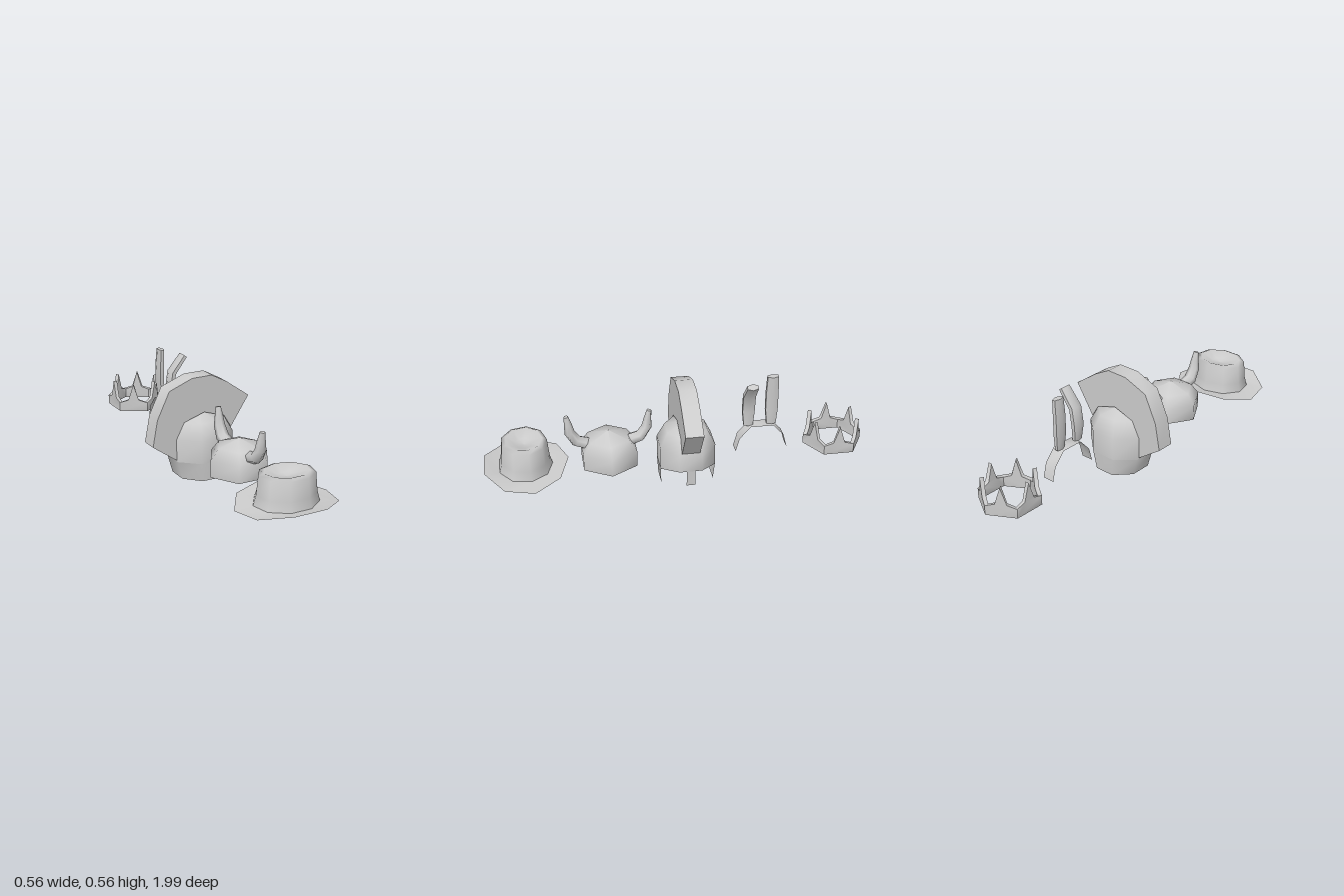
import * as THREE from 'three';
import { mergeGeometries, toCreasedNormals } from 'three/addons/utils/BufferGeometryUtils.js';

const material = new THREE.MeshStandardMaterial({ color: 0xcccccc, side: THREE.DoubleSide });
const V = (x, y, z) => new THREE.Vector3(x, y, z);

function part(name, geometry, parent) {
  const mesh = new THREE.Mesh(geometry, material);
  mesh.name = name;
  parent.add(mesh);
  return mesh;
}

function group(name, x, z, parent) {
  const g = new THREE.Group();
  g.name = name;
  g.position.set(x, 0, z);
  parent.add(g);
  return g;
}

// Skin over a stack of rings, each an array of the same number of points
function loft(rings, closed = true) {
  const n = rings[0].length;
  const geometry = new THREE.BufferGeometry().setFromPoints(rings.flat());
  const index = [];
  for (let i = 0; i < rings.length - 1; i++) {
    for (let j = 0; j < (closed ? n : n - 1); j++) {
      const k = (j + 1) % n;
      const a = i * n + j, b = i * n + k, c = a + n, d = b + n;
      index.push(a, c, b, b, c, d);
    }
  }
  geometry.setIndex(index);
  geometry.computeVertexNormals();
  return geometry;
}

// Elliptical ring; y may be a rule of the angle
function ring(sides, rx, rz, y, start = 0, cx = 0) {
  return Array.from({ length: sides }, (_, j) => {
    const a = start + (j / sides) * Math.PI * 2;
    return V(cx + rx * Math.cos(a), typeof y === 'function' ? y(a) : y, rz * Math.sin(a));
  });
}

// Tapered limb along a bent path; u is the axis square to the plane of the path
function limb(path, u, radii, sides) {
  const rings = path.map((p, i) => {
    const t = path[Math.min(i + 1, path.length - 1)].clone()
      .sub(path[Math.max(i - 1, 0)]).normalize();
    const v = u.clone().cross(t);
    return Array.from({ length: sides }, (_, j) => {
      const a = ((j + 0.5) / sides) * Math.PI * 2;
      return p.clone()
        .addScaledVector(u, radii[i][0] * Math.cos(a))
        .addScaledVector(v, radii[i][1] * Math.sin(a));
    });
  });
  const cap = (p) => Array.from({ length: sides }, () => p.clone());
  const geometry = loft([cap(path[0]), ...rings, cap(path[path.length - 1])]);
  return toCreasedNormals(geometry, 1.2);
}

function brimmedHat(parent) {
  const hat = group('brimmedHat', 0.012, 0.782, parent);
  const start = -Math.PI / 2;
  // Brim droops at the sides and curls up at front and back
  const curl = (a) => 0.139 + 0.037 * Math.sin(a) ** 2;
  part('brim', loft([
    ring(9, 0.258, 0.222, curl, start),
    ring(9, 0.165, 0.14, 0.152, start),
  ]), hat);
  // Tapered crown with a dented top
  part('crown', loft([
    ring(9, 0.165, 0.14, 0.152, start),
    ring(9, 0.152, 0.127, 0.2, start),
    ring(9, 0.143, 0.118, 0.295, start),
    ring(9, 0.115, 0.095, 0.306, start),
    ring(9, 0.05, 0.04, 0.28, start),
    ring(9, 0, 0, 0.275, start),
  ]), hat);
}

function hornedHelmet(parent) {
  const helmet = group('hornedHelmet', 0.016, 0.35, parent);
  part('dome', loft([[0.14, 1], [0.225, 1], [0.282, 0.73], [0.32, 0]]
    .map(([y, s]) => ring(6, 0.161 * s, 0.159 * s, y))), helmet);
  // One horn at each end of z
  for (const s of [1, -1]) {
    const path = [[0.1, 0.25], [0.165, 0.272], [0.198, 0.325], [0.203, 0.37], [0.212, 0.418]]
      .map(([z, y]) => V(0, y, s * z));
    const radii = [[0.036, 0.032], [0.034, 0.031], [0.029, 0.027], [0.022, 0.02], [0.014, 0.012]];
    part('horn', limb(path, V(1, 0, 0), radii, 6), helmet);
  }
}

function crestedHelmet(parent) {
  const helmet = group('crestedHelmet', 0.016, -0.053, parent);
  const start = Math.PI / 8;
  const octagon = (s, y, cx = 0, sz = s) => ring(8, 0.176 * s, 0.155 * sz, y, start, cx);
  // Brow line rises over the face, which looks along +x
  const brow = octagon(1, (a) => (Math.cos(a) > 0.7 ? 0.128 : 0.099));
  part('dome', loft([
    brow,
    octagon(1, 0.22),
    octagon(0.73, 0.302),
    octagon(0, 0.345),
  ]), helmet);
  // Neck guard with cheeks, open in front
  part('neckGuard', loft([
    octagon(0.8, 0, -0.005, 0.96).slice(1, 7),
    brow.slice(1, 7),
  ], false), helmet);
  // Thin nose guard
  const nose = new THREE.PlaneGeometry(0.045, 0.085);
  nose.rotateY(Math.PI / 2).translate(0.1625, 0.0865, 0);
  part('noseGuard', nose, helmet);
  // Fan crest running from the forehead to the nape
  const outline = [
    [-0.298, 0.2], [-0.271, 0.343], [-0.202, 0.486], [-0.071, 0.536], [0.044, 0.537],
    [0.134, 0.488], [0.264, 0.395], [0.16, 0.236],
    [0.118, 0.305], [0, 0.343], [-0.118, 0.305], [-0.161, 0.22], [-0.161, 0.103],
  ].map(([x, y]) => new THREE.Vector2(x, y));
  const crest = new THREE.ExtrudeGeometry(new THREE.Shape(outline), { depth: 0.094, bevelEnabled: false });
  crest.translate(0, 0, -0.047);
  part('crest', toCreasedNormals(crest, 1), helmet);
}

function earBand(parent) {
  const band = group('earBand', 0.013, -0.452, parent);
  // Thin arched strip
  const arch = [[-0.138, 0.14], [-0.118, 0.215], [-0.06, 0.28], [0.06, 0.28], [0.118, 0.215], [0.138, 0.14]];
  part('headband', loft([-0.033, 0.033].map((x) => arch.map(([z, y]) => V(x, y, z))), false), band);
  // One upright ear and one folded over
  const ears = [
    ['uprightEar', -0.053, [[0, 0.278], [-0.004, 0.36], [-0.004, 0.46], [0.002, 0.556]]],
    ['foldedEar', 0.069, [[0, 0.278], [-0.006, 0.36], [0.008, 0.455], [0.079, 0.543]]],
  ];
  const radii = [[0.028, 0.016], [0.037, 0.021], [0.037, 0.021], [0.033, 0.018]];
  for (const [name, z, points] of ears) {
    const path = points.map(([x, y]) => V(x, y, z));
    part(name, limb(path, V(0, 0, 1), radii, 6), band);
  }
}

function spikedCrown(parent) {
  const crown = group('spikedCrown', 0.016, -0.842, parent);
  const radius = 0.158, apothem = radius * Math.cos(Math.PI / 6), half = radius / 2;
  // One wall with a spike in its middle, mitred toward the inside
  const outline = [[-half, 0.14], [half, 0.14], [half, 0.19], [0.03, 0.205], [0, 0.297], [-0.03, 0.205], [-half, 0.19]]
    .map(([x, y]) => new THREE.Vector2(x, y));
  const wall = new THREE.ExtrudeGeometry(new THREE.Shape(outline), { depth: 0.02, bevelEnabled: false });
  wall.translate(0, 0, apothem - 0.02);
  const p = wall.attributes.position;
  for (let i = 0; i < p.count; i++) p.setX(i, (p.getX(i) * p.getZ(i)) / apothem);
  const walls = Array.from({ length: 6 }, (_, i) =>
    wall.clone().rotateY(Math.PI / 6 + Math.PI / 3 * (i + 1)));
  part('spikedBand', toCreasedNormals(mergeGeometries(walls), 1.2), crown);
}

export function createModel() {
  const model = new THREE.Group();
  model.name = 'hatCollection';
  brimmedHat(model);
  hornedHelmet(model);
  crestedHelmet(model);
  earBand(model);
  spikedCrown(model);
  return model;
}
